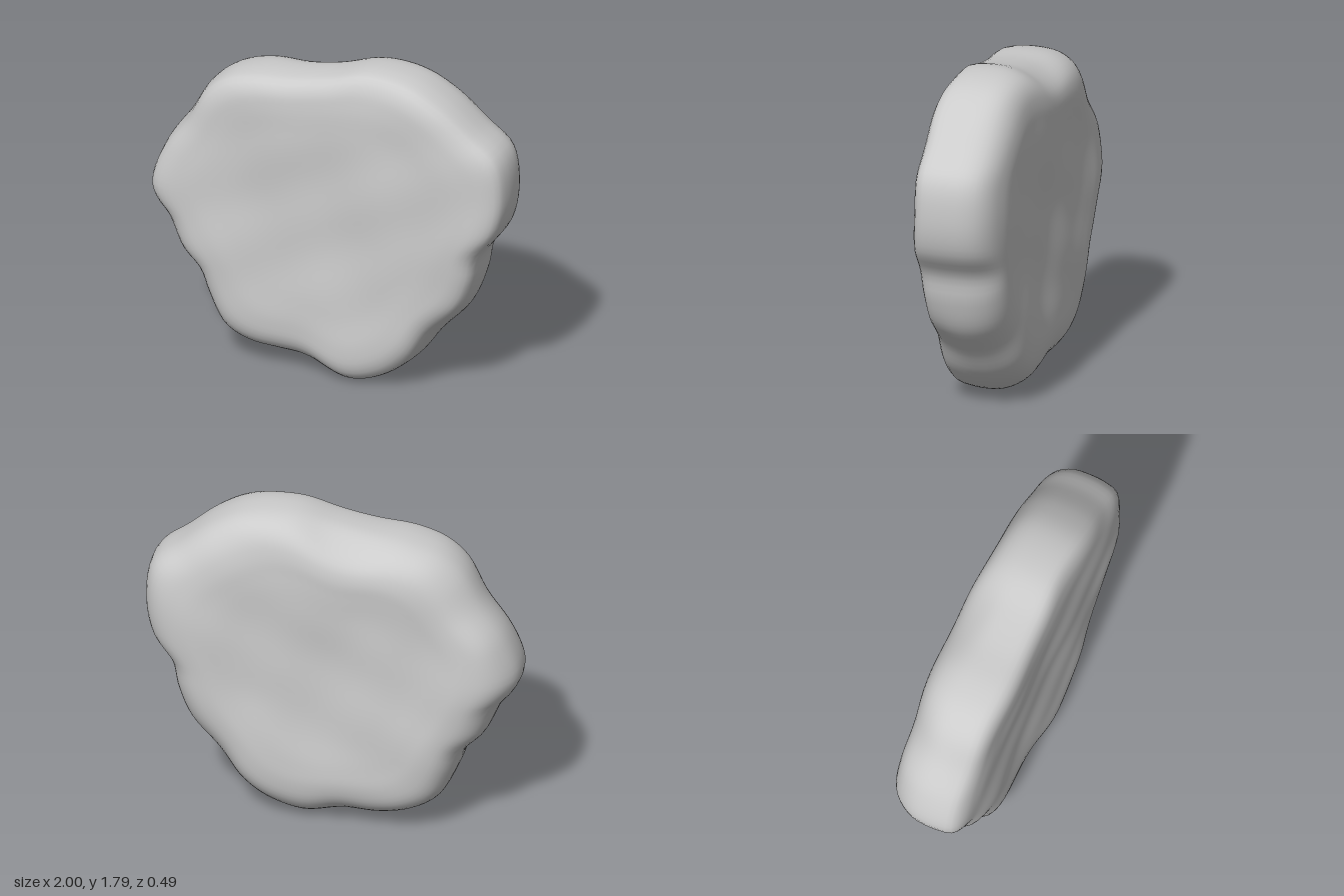
import * as THREE from 'three';

// Outline of the slab seen from the front, counter-clockwise
const OUTLINE = [
  [1, 1.2], [0.965, 1.41], [0.82, 1.535], [0.65, 1.675], [0.47, 1.765], [0.22, 1.79], [0, 1.735],
  [-0.2, 1.7], [-0.42, 1.68], [-0.58, 1.63], [-0.69, 1.54], [-0.8, 1.36], [-0.93, 1.17],
  [-1, 0.95], [-0.97, 0.86], [-0.9, 0.77], [-0.82, 0.6], [-0.72, 0.49], [-0.67, 0.36],
  [-0.58, 0.19], [-0.45, 0.105], [-0.28, 0.06], [-0.08, 0.05], [0.14, 0], [0.32, 0.05],
  [0.48, 0.17], [0.6, 0.33], [0.76, 0.51], [0.83, 0.69], [0.86, 0.84], [0.965, 1.0],
];

// Cross-section from front centre to back centre: [share of outline, z]
const PROFILE = [
  [0, 0.222], [0.3, 0.222], [0.6, 0.226], [0.8, 0.23], [0.91, 0.218], [0.975, 0.18], [0.997, 0.1],
  [1, 0.01], [0.987, -0.09], [0.95, -0.16], [0.885, -0.207], [0.78, -0.23], [0.65, -0.23],
  [0.45, -0.222], [0.2, -0.218], [0, -0.218],
];

// Worn places on the rim: [x, y, inset, width, side (1 front, -1 back)]
const CHIPS = [
  [-0.22, 0.06, 0.06, 0.22, 1], [0.62, 0.36, 0.04, 0.25, 1], [-0.85, 1.3, 0.02, 0.2, 1],
  [0.14, 0, 0.04, 0.3, -1], [-0.1, 1.71, 0.06, 0.25, -1], [-0.72, 1.45, 0.045, 0.25, -1],
  [-0.95, 0.95, 0.035, 0.25, -1], [0.7, 0.42, 0.02, 0.3, -1],
];

const CENTRE = new THREE.Vector3(0, 0.92, 0);
const { smoothstep } = THREE.MathUtils;

// Soft lumps on the two broad faces
function lumps(x, y, front) {
  const p = front ? 0.4 : 2.3;
  return 0.009 * Math.sin(5.2 * x + 1.8 * y + p) * Math.sin(4.4 * y - 2.1 * x + 2 * p)
    + 0.005 * Math.sin(10 * x - 5 * y + 3 * p) * Math.sin(9 * y + 3 * x + p);
}

// Average of neighbouring outline points, for the calmer inner rings
function softened(points, reach) {
  const n = points.length;
  return points.map((_, j) => {
    const sum = new THREE.Vector3();
    for (let k = -reach; k <= reach; k++) sum.add(points[(j + k + n) % n]);
    return sum.divideScalar(2 * reach + 1);
  });
}

function stoneGeometry(around = 144, across = 72) {
  const outline = new THREE.CatmullRomCurve3(
    OUTLINE.map(([x, y]) => new THREE.Vector3(x, y, 0)), true, 'centripetal')
    .getSpacedPoints(around).slice(0, around);
  const inner = softened(outline, 3);
  const profile = new THREE.CatmullRomCurve3(
    PROFILE.map(([s, z]) => new THREE.Vector3(s, z, 0)), false, 'centripetal').getSpacedPoints(across);

  const positions = [];
  const addPoint = (j, { x: s, y: z }) => {
    const edge = inner[j].clone().lerp(outline[j], smoothstep(s, 0.75, 0.97));
    // Chips pull the rim inward towards one face
    let inset = 0;
    for (const [cx, cy, depth, width, side] of CHIPS) {
      const d = Math.hypot(edge.x - cx, edge.y - cy) / width;
      inset += depth * Math.exp(-d * d) * smoothstep(z * side, 0, 0.22);
    }
    const p = CENTRE.clone().lerp(edge, s * (1 - inset));
    const weight = smoothstep(Math.abs(z), 0.08, 0.22);
    positions.push(p.x, p.y, z + Math.sign(z) * weight * lumps(p.x, p.y, z > 0));
  };

  addPoint(0, profile[0]);
  for (let i = 1; i < across; i++)
    for (let j = 0; j < around; j++) addPoint(j, profile[i]);
  addPoint(0, profile[across]);

  // One shared point at each face centre, closed rings between
  const last = positions.length / 3 - 1;
  const at = (i, j) => (i === 0 ? 0 : i === across ? last : 1 + (i - 1) * around + (j % around));
  const index = [];
  for (let i = 0; i < across; i++) {
    for (let j = 0; j < around; j++) {
      const a = at(i, j), b = at(i + 1, j), c = at(i + 1, j + 1), d = at(i, j + 1);
      if (i < across - 1) index.push(a, b, c);
      if (i > 0) index.push(a, c, d);
    }
  }
  const geometry = new THREE.BufferGeometry();
  geometry.setAttribute('position', new THREE.Float32BufferAttribute(positions, 3));
  geometry.setIndex(index);
  geometry.computeVertexNormals();
  return geometry;
}

export function createModel() {
  const group = new THREE.Group();
  group.name = 'flatStone';
  const stone = new THREE.Mesh(stoneGeometry(), new THREE.MeshStandardMaterial({ color: 0xcccccc }));
  stone.name = 'stoneSlab';
  group.add(stone);
  return group;
}
